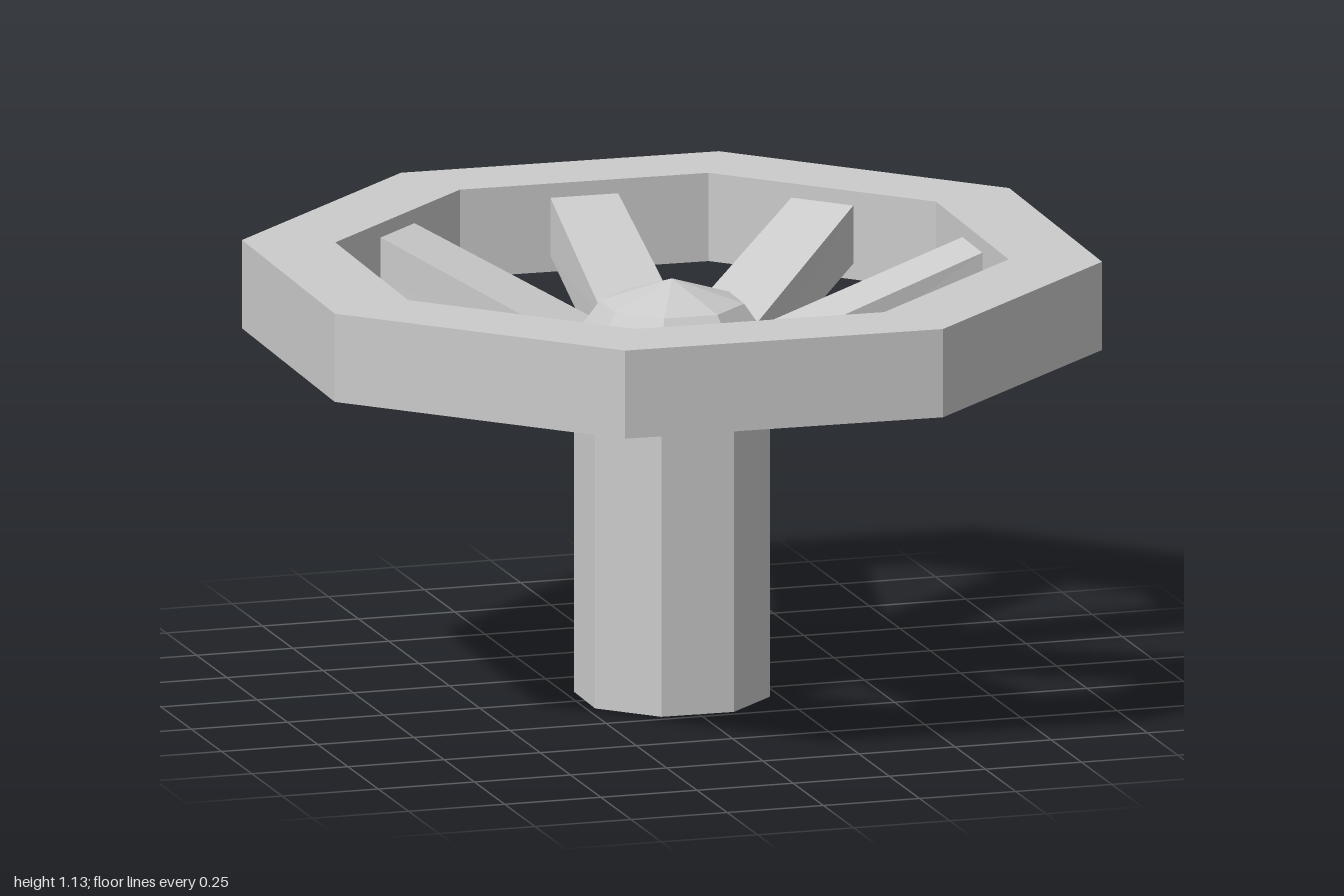
import * as THREE from 'three';

const SIDES = 8;
const STEP = (Math.PI * 2) / SIDES;
const TWIST = THREE.MathUtils.degToRad(1.2); // slight turn of the whole wheel

const material = new THREE.MeshStandardMaterial({ color: 0xcccccc, flatShading: true });
const openMaterial = material.clone();
openMaterial.side = THREE.DoubleSide;

// Eight-sided turned solid from [radius, height] pairs, flats facing the spokes
function turned(name, profile, mat) {
  const points = profile.map(([r, y]) => new THREE.Vector2(r, y));
  const geometry = new THREE.LatheGeometry(points, SIDES, STEP / 2 - TWIST, Math.PI * 2);
  const mesh = new THREE.Mesh(geometry, mat);
  mesh.name = name;
  return mesh;
}

// Tapered bar along +x, rising from the hub to the rim
function spokeGeometry() {
  const geometry = new THREE.BoxGeometry(1, 1, 1);
  const p = geometry.attributes.position;
  for (let i = 0; i < p.count; i++) {
    const outer = p.getX(i) > 0;
    const top = p.getY(i) > 0;
    const side = Math.sign(p.getZ(i));
    if (outer) p.setXYZ(i, 0.78, top ? 1.095 : 0.947, side * 0.0875);
    else p.setXYZ(i, top ? 0.235 : 0.226, top ? 0.893 : 0.75, side * (top ? 0.0975 : 0.0935));
  }
  geometry.computeVertexNormals();
  return geometry;
}

export function createModel() {
  const model = new THREE.Group();
  model.name = 'handwheel';

  // Stem, open at the bottom
  model.add(turned('stem', [[0.245, 0], [0.245, 0.75], [0.255, 0.893]], openMaterial));

  // Faceted cap on the hub
  model.add(turned('hubCap', [[0.255, 0.893], [0.18, 1.0], [0, 1.06]], openMaterial));

  // Octagonal rim
  model.add(turned('rim', [[1.073, 0.905], [1.073, 1.13], [0.84, 1.13], [0.84, 0.905], [1.073, 0.905]], material));

  // Spokes
  const spokes = new THREE.Group();
  spokes.name = 'spokes';
  const geometry = spokeGeometry();
  for (let i = 0; i < SIDES; i++) {
    const spoke = new THREE.Mesh(geometry, material);
    spoke.name = 'spoke';
    spoke.rotation.y = -(TWIST + i * STEP);
    spokes.add(spoke);
  }
  model.add(spokes);

  return model;
}
